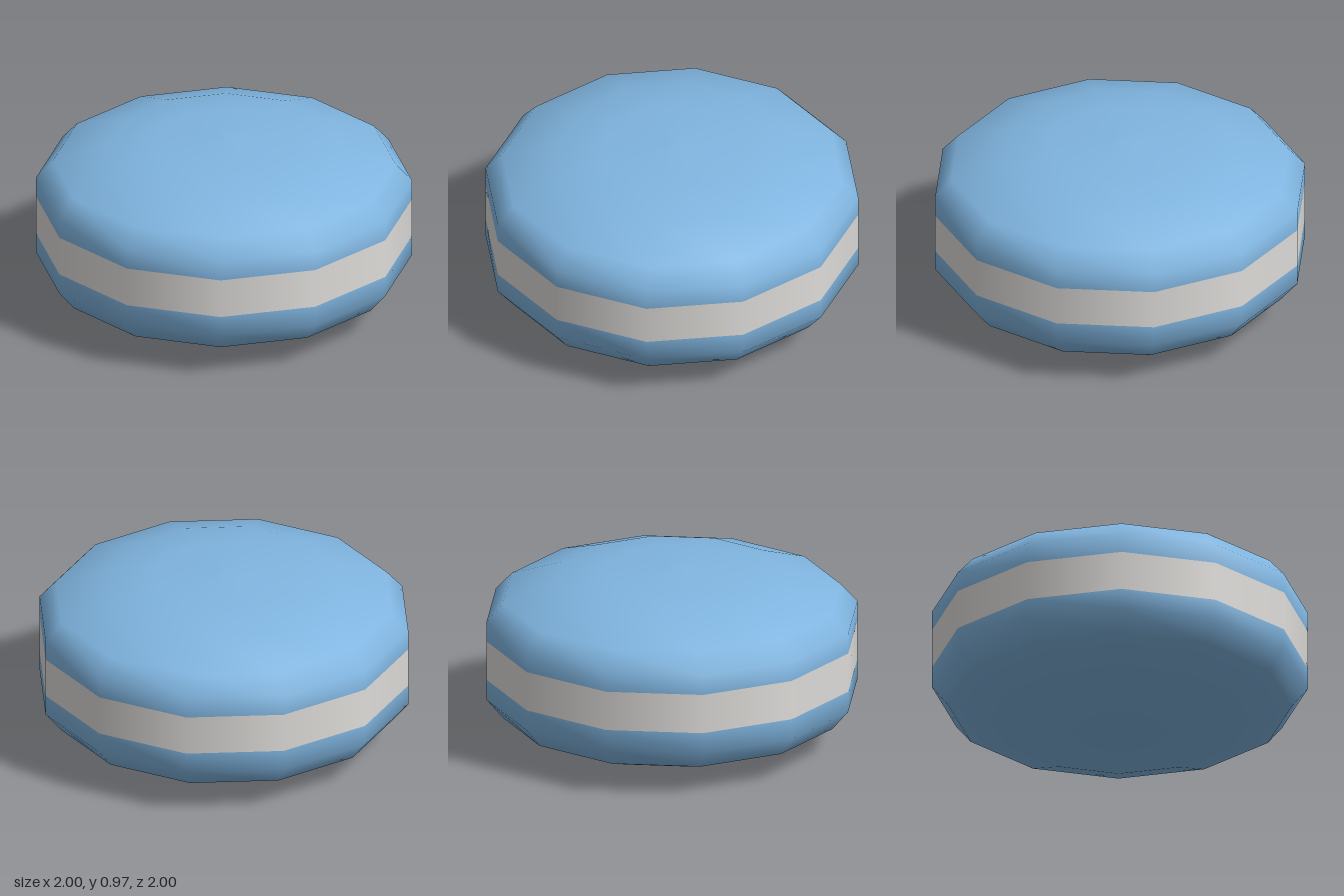
import * as THREE from 'three';

const SIDES = 12;
const TURN = THREE.MathUtils.degToRad(-9.8);
const RADIUS = 1.015;

export function createModel() {
  const group = new THREE.Group();
  const blue = new THREE.MeshStandardMaterial({ color: 0x80b5e0 });
  blue.name = 'shellBlue';
  const cream = new THREE.MeshStandardMaterial({ color: 0xdedcd9 });
  cream.name = 'fillingCream';

  // Revolve a [radius, height] profile, listed from bottom to top
  function ring(name, profile, material) {
    const points = profile.map(([r, y]) => new THREE.Vector2(r, y));
    const mesh = new THREE.Mesh(new THREE.LatheGeometry(points, SIDES, TURN), material);
    mesh.name = name;
    group.add(mesh);
  }

  // Rounded lower shell
  ring('lowerShell', [[0, 0], [0.38, 0.004], [0.645, 0.053], [0.925, 0.155], [RADIUS, 0.265], [RADIUS, 0.38]], blue);
  // Straight filling band
  ring('filling', [[RADIUS, 0.38], [RADIUS, 0.6]], cream);
  // Domed upper shell
  ring('upperShell', [[RADIUS, 0.6], [RADIUS, 0.71], [0.925, 0.811], [0.645, 0.91], [0.38, 0.952], [0, 0.966]], blue);

  return group;
}
